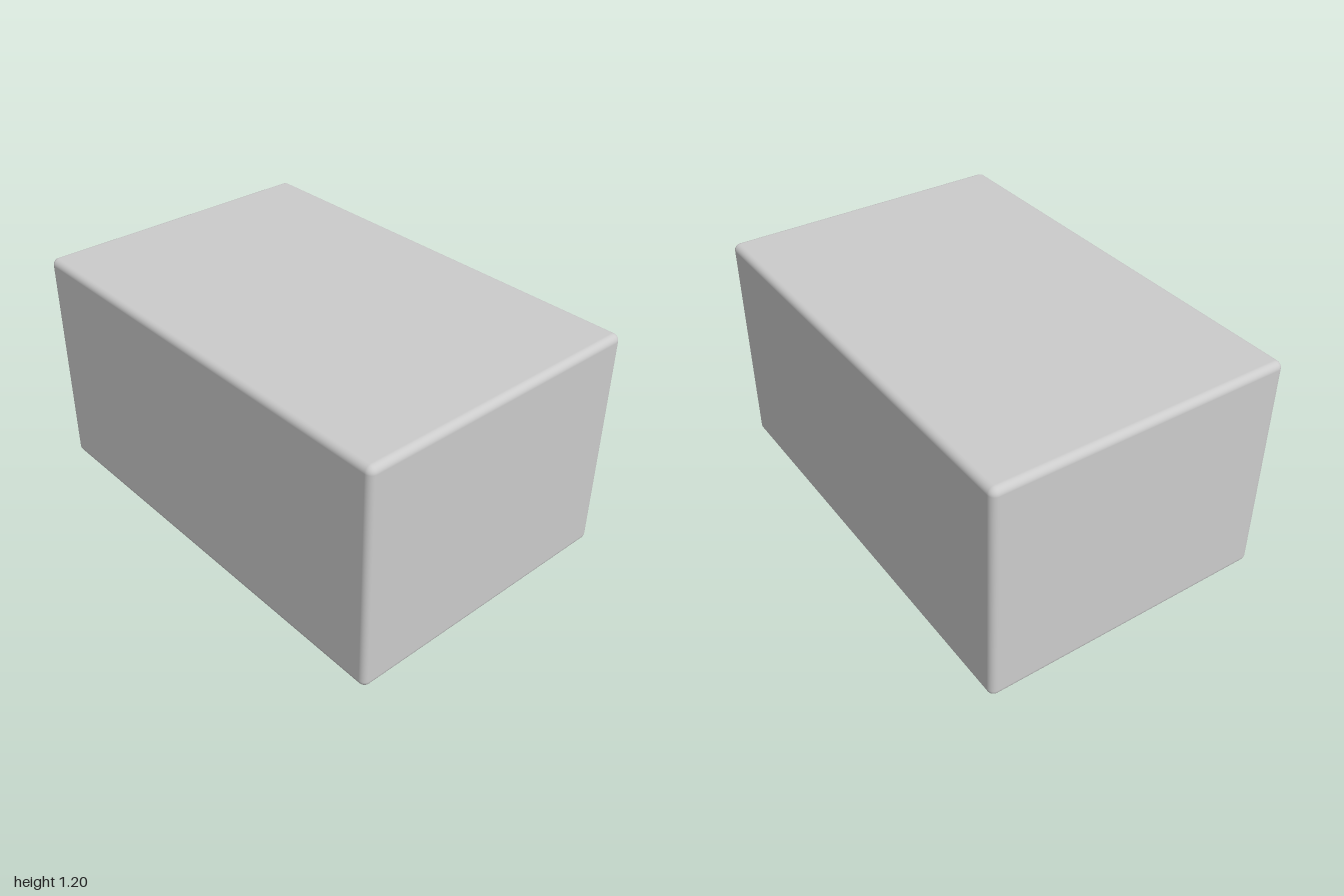
import * as THREE from 'three';
import { RoundedBoxGeometry } from 'three/addons/geometries/RoundedBoxGeometry.js';

const material = new THREE.MeshStandardMaterial({ color: 0xcccccc });

function part(name, geometry, parent) {
  const mesh = new THREE.Mesh(geometry, material);
  mesh.name = name;
  parent.add(mesh);
  return mesh;
}

// Upright round section between two heights
function turned(name, parent, rTop, rBottom, yTop, yBottom) {
  const geometry = new THREE.CylinderGeometry(rTop, rBottom, yTop - yBottom, 48);
  part(name, geometry, parent).position.y = (yTop + yBottom) / 2;
}

export function createModel() {
  const model = new THREE.Group();
  model.name = 'safe';

  // Cabinet lying on its door side, with softly rounded edges
  const body = part('body', new RoundedBoxGeometry(1.31, 1.01, 2, 5, 0.03), model);
  body.position.y = 0.695;

  // Door panel, almost flush with the underside
  const door = part('door', new THREE.BoxGeometry(0.98, 0.02, 1.71), model);
  door.position.set(0, 0.198, 0);

  // Combination dial: rim, sloped skirt and knob
  const dial = new THREE.Group();
  dial.name = 'dial';
  dial.position.set(0.01, 0, 0.515);
  model.add(dial);
  turned('dialRim', dial, 0.198, 0.198, 0.195, 0.168);
  turned('dialSkirt', dial, 0.198, 0.08, 0.168, 0.135);
  turned('dialKnob', dial, 0.08, 0.08, 0.14, 0.056);

  // Three-spoke handle
  const handle = new THREE.Group();
  handle.name = 'handle';
  handle.position.set(0.01, 0, -0.31);
  model.add(handle);
  turned('handlePlate', handle, 0.128, 0.128, 0.195, 0.17);
  turned('handleHub', handle, 0.051, 0.051, 0.175, 0);

  const up = new THREE.Vector3(0, 1, 0);
  for (let i = 0; i < 3; i++) {
    const angle = THREE.MathUtils.degToRad(56 + i * 120);
    const start = new THREE.Vector3(0, 0.083, 0);
    const end = new THREE.Vector3(Math.cos(angle) * 0.358, 0.037, Math.sin(angle) * 0.358);
    const direction = end.clone().sub(start);
    const spoke = part('handleSpoke', new THREE.CylinderGeometry(0.019, 0.019, direction.length(), 24), handle);
    spoke.position.copy(start).add(end).multiplyScalar(0.5);
    spoke.quaternion.setFromUnitVectors(up, direction.normalize());
  }

  return model;
}
